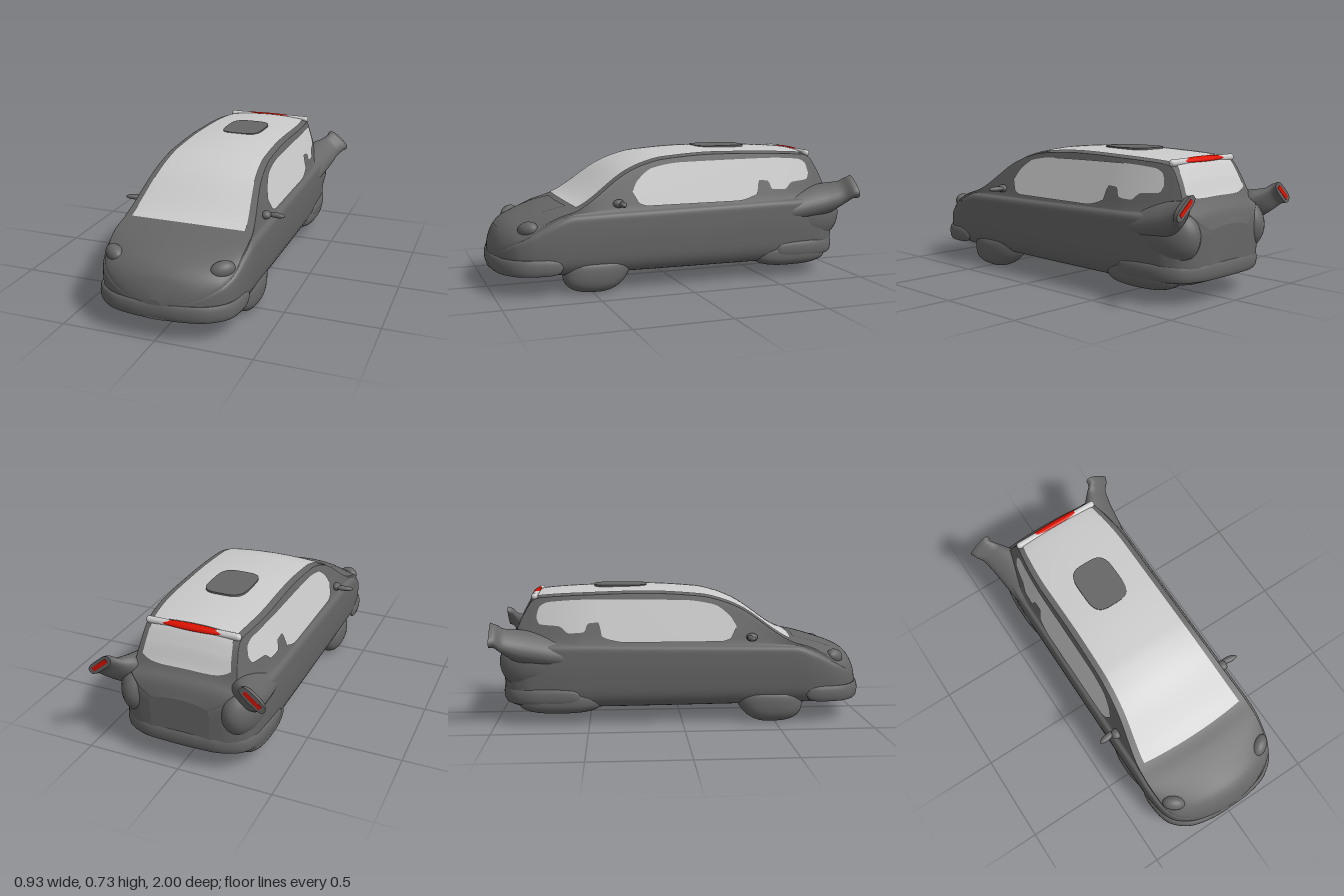
import * as THREE from 'three';

const glassMat = new THREE.MeshStandardMaterial({ color: 0xcccccc, side: THREE.DoubleSide });
const bodyMat = new THREE.MeshStandardMaterial({ color: 0x666666, side: THREE.DoubleSide });
const redMat = new THREE.MeshStandardMaterial({ color: 0xdd1100, side: THREE.DoubleSide });

// Smooth monotone curve through [z, value] pairs, z ascending
function curve(p) {
  const s = p.slice(1).map((q, i) => (q[1] - p[i][1]) / (q[0] - p[i][0]));
  const m = p.map((_, i) => {
    const a = s[i - 1] ?? s[i], b = s[i] ?? s[i - 1];
    return a * b <= 0 ? 0 : (2 * a * b) / (a + b);
  });
  return z => {
    let i = 0;
    while (i < p.length - 2 && z > p[i + 1][0]) i++;
    const h = p[i + 1][0] - p[i][0], t = THREE.MathUtils.clamp((z - p[i][0]) / h, 0, 1);
    const t2 = t * t, t3 = t2 * t;
    return (2 * t3 - 3 * t2 + 1) * p[i][1] + (t3 - 2 * t2 + t) * h * m[i]
      + (3 * t2 - 2 * t3) * p[i + 1][1] + (t3 - t2) * h * m[i + 1];
  };
}

// Surface through rows of [x, y, z] points
function loft(rows, closed) {
  const n = rows[0].length, index = [];
  for (let i = 0; i < rows.length - 1; i++)
    for (let j = 0; j < (closed ? n : n - 1); j++) {
      const a = i * n + j, b = i * n + (j + 1) % n;
      index.push(a, b, a + n, b, b + n, a + n);
    }
  const g = new THREE.BufferGeometry();
  g.setAttribute('position', new THREE.Float32BufferAttribute(rows.flat(2), 3));
  g.setIndex(index);
  g.computeVertexNormals();
  return g;
}

// Flat end for a closed loft
const cap = ring => {
  const c = [0, 1, 2].map(k => ring.reduce((s, p) => s + p[k], 0) / ring.length);
  return [ring, ring.map(() => c)];
};

// Long shape of the car
const width = curve([[-0.96, 0.16], [-0.945, 0.24], [-0.92, 0.295], [-0.88, 0.335], [-0.8, 0.365], [-0.6, 0.375], [0.65, 0.377],
  [0.8, 0.36], [0.88, 0.325], [0.93, 0.265], [0.965, 0.19], [0.985, 0.11], [0.995, 0.04]]);
const top = curve([[-0.96, 0.38], [-0.935, 0.45], [-0.89, 0.5], [-0.84, 0.605], [-0.79, 0.68], [-0.75, 0.695],
  [-0.5, 0.71], [-0.2, 0.717], [0.1, 0.7], [0.2, 0.678], [0.3, 0.64], [0.6, 0.455], [0.7, 0.435],
  [0.8, 0.408], [0.9, 0.37], [0.95, 0.33], [0.98, 0.27], [0.995, 0.22]]);
const belt = curve([[-0.96, 0.35], [-0.93, 0.42], [-0.88, 0.45], [-0.6, 0.44], [0, 0.43], [0.6, 0.42],
  [0.7, 0.385], [0.82, 0.32], [0.9, 0.275], [0.95, 0.235], [0.98, 0.205], [0.995, 0.18]]);
const floor = curve([[-0.96, 0.13], [-0.9, 0.1], [-0.7, 0.09], [0.6, 0.1], [0.995, 0.115]]);
// Exponent of the cross-wise crown: a flat arch on the roof, rounder at the nose
const crown = curve([[0.58, 1], [0.85, 0.6]]);

// Half width of the cabin side, and points across the roof or bonnet (u from -1 to 1)
const cabinX = (y, z) => Math.min(0.93 * width(z) * (z > 0.58 ? 1 + 0.03 * (1 - crown(z)) / 0.4 : 1),
  0.354 - (y - 0.43) * 0.28 - 0.055 * Math.max(0, (-0.45 - z) / 0.4) ** 2);
const edgeY = z => Math.max(belt(z) + 0.003, top(z) - 0.02);
// On the nose the crown starts at the belt
const crownY = z => THREE.MathUtils.lerp(edgeY(z), belt(z) + 0.003, (1 - crown(z)) / 0.4);
const topPoint = (u, z, lift = 0) =>
  [u * cabinX(crownY(z), z), crownY(z) + (top(z) - crownY(z)) * Math.max(0, 1 - u * u) ** crown(z) + lift, z];

function section(z) {
  const w = width(z), b = floor(z), h = belt(z) - b;
  const lower = new THREE.CatmullRomCurve3([[0, 0], [0.6, 0], [0.86, 0.03], [0.96, 0.18], [0.995, 0.45],
    [1, 0.8], [0.985, 0.95], [cabinX(belt(z), z) / w, 1]].map(([x, y]) => new THREE.Vector3(x * w, b + y * h, z)));
  const half = lower.getPoints(32).map(p => [p.x, p.y, z]);
  for (let i = 1; i <= 6; i++) {
    const y = THREE.MathUtils.lerp(belt(z), crownY(z), i / 6);
    half.push([THREE.MathUtils.lerp(cabinX(belt(z), z), cabinX(crownY(z), z), i / 6), y, z]);
  }
  for (let i = 15; i >= 0; i--) half.push(topPoint(Math.sin(i / 16 * Math.PI / 2), z));
  return half.concat(half.slice(1, -1).reverse().map(([x, y]) => [-x, y, z]));
}

// Panel lying on the roof or bonnet; the limits z0 and z1 may vary with u
function topPanel(umax, z0, z1, lift, steps = 40) {
  const rows = [];
  for (let i = 0; i <= steps; i++) {
    const row = [];
    for (let j = -12; j <= 12; j++) {
      const u = j / 12;
      row.push(topPoint(u * umax, THREE.MathUtils.lerp(z0(u), z1(u), i / steps), lift));
    }
    rows.push(row);
  }
  return loft(rows);
}

// Bumper bar following a plan curve from the left side round to the right
function bumper(half, y) {
  const pts = half.concat(half.slice(0, -1).reverse().map(([x, z]) => [-x, z]));
  const path = new THREE.CatmullRomCurve3(pts.map(([x, z]) => new THREE.Vector3(x, y, z)));
  const rows = [];
  for (let i = 0; i <= 80; i++) {
    const t = i / 80, p = path.getPointAt(t), d = path.getTangentAt(t);
    const k = Math.sqrt(Math.max(0.001, 1 - Math.abs(2 * t - 1) ** 24));
    rows.push(Array.from({ length: 14 }, (_, j) => {
      const a = j / 14 * Math.PI * 2, r = Math.cos(a) * 0.014 * k;
      return [p.x - d.z * r, p.y + Math.sin(a) * 0.043 * k, p.z + d.x * r];
    }));
  }
  return loft(rows, true);
}

export function createModel() {
  const car = new THREE.Group();
  const add = (name, geo, mat = bodyMat, parent = car) => {
    const m = new THREE.Mesh(geo, mat);
    m.name = name;
    parent.add(m);
    return m;
  };
  const blob = (name, pos, size, mat, parent) => {
    const m = add(name, new THREE.SphereGeometry(1, 32, 20), mat, parent);
    m.position.set(...pos);
    m.scale.set(...size);
    return m;
  };

  // Body shell
  const rings = Array.from({ length: 111 }, (_, i) => section(0.0175 - 0.9775 * Math.cos(Math.PI * i / 110)));
  add('body', loft([...cap(rings[0]).reverse(), ...rings, ...cap(rings[110])], true));

  // Windscreen and roof in one sheet, rear window, bonnet
  add('windscreenAndRoof', topPanel(0.89, () => -0.765, u => 0.6 - 0.02 * u * u, 0.006, 60), glassMat);
  add('rearWindow', topPanel(0.88, u => -0.888 + 0.02 * u ** 4, () => -0.79, 0.009), glassMat);
  add('bonnet', topPanel(0.58, u => 0.625 - 0.015 * u * u, u => 0.95 - 0.03 * u ** 6, 0.003));

  // Roof hatch with rounded corners
  const hatch = new THREE.Shape(Array.from({ length: 48 }, (_, i) => {
    const a = i / 48 * Math.PI * 2, c = Math.cos(a), s = Math.sin(a);
    return new THREE.Vector2(0.113 * Math.sign(c) * Math.abs(c) ** 0.55, 0.145 * Math.sign(s) * Math.abs(s) ** 0.55);
  }));
  const hatchMesh = add('roofHatch', new THREE.ExtrudeGeometry(hatch, { depth: 0.02, bevelEnabled: false }));
  hatchMesh.rotation.x = -Math.PI / 2;
  hatchMesh.position.set(0, 0.706, -0.325);

  // Roof spoiler and high brake light
  const spoiler = add('spoiler', new THREE.CapsuleGeometry(0.018, 0.47, 8, 20), glassMat);
  spoiler.rotation.z = Math.PI / 2;
  spoiler.position.set(0, 0.68, -0.782);
  blob('brakeLight', [0, 0.687, -0.788], [0.19, 0.012, 0.021], redMat).rotation.x = -0.5;

  // Bumpers
  add('frontBumper', bumper([[0.36, 0.66], [0.362, 0.75], [0.335, 0.87], [0.25, 0.947], [0.13, 0.98], [0, 0.986]], 0.157));
  add('rearBumper', bumper([[0.362, -0.54], [0.363, -0.7], [0.348, -0.82], [0.3, -0.9], [0.2, -0.944], [0.1, -0.953], [0, -0.955]], 0.16));

  // Parts found on both sides
  const sillY = curve([[-0.77, 0.57], [-0.755, 0.54], [-0.65, 0.53], [-0.6, 0.495], [-0.52, 0.5], [-0.5, 0.545],
    [-0.44, 0.55], [-0.43, 0.48], [-0.3, 0.446], [0.2, 0.446], [0.25, 0.46], [0.285, 0.52]]);
  const headY = curve([[-0.77, 0.58], [-0.755, 0.63], [-0.7, 0.655], [-0.5, 0.667], [0, 0.662], [0.16, 0.64], [0.25, 0.58], [0.285, 0.525]]);
  for (const s of [1, -1]) {
    const side = new THREE.Group();
    side.name = s > 0 ? 'leftSide' : 'rightSide';
    side.scale.x = s;
    car.add(side);

    // Side window
    const cols = Array.from({ length: 121 }, (_, i) => {
      const z = -0.77 + 1.055 * i / 120;
      return Array.from({ length: 7 }, (_, j) => {
        const y = THREE.MathUtils.lerp(sillY(z), headY(z), j / 6);
        return [cabinX(y, z) + 0.005, y, z];
      });
    });
    add('sideWindow', loft(cols), glassMat, side);

    // Flared tail light pod: z, centre x, centre y, long and short half size
    const pod = [[-1, 0.4, 0.5, 0.078, 0.028], [-0.975, 0.393, 0.493, 0.07, 0.034], [-0.94, 0.358, 0.462, 0.074, 0.046],
      [-0.88, 0.325, 0.435, 0.09, 0.065], [-0.8, 0.308, 0.415, 0.095, 0.07], [-0.65, 0.296, 0.39, 0.09, 0.062],
      [-0.48, 0.285, 0.37, 0.06, 0.04]];
    const f = [1, 2, 3, 4].map(k => curve(pod.map(p => [p[0], p[k]])));
    const podRings = Array.from({ length: 33 }, (_, i) => {
      const z = -1 + 0.52 * (i / 32) ** 1.5, [x, y, l, t] = f.map(g => g(z));
      const e = z < -0.95 ? 0.7 : 0.85;
      return Array.from({ length: 28 }, (_, j) => {
        const a = j / 28 * Math.PI * 2, c = Math.cos(a), n = Math.sin(a);
        const p = l * Math.sign(c) * Math.abs(c) ** e, q = t * Math.sign(n) * Math.abs(n) ** e;
        return [x + 0.77 * p + 0.64 * q, y - 0.64 * p + 0.77 * q, z];
      });
    });
    add('tailLightPod', loft([...cap(podRings[0]).reverse(), ...podRings], true), bodyMat, side);
    blob('rearHaunch', [0.268, 0.335, -0.78], [0.107, 0.16, 0.19], bodyMat, side);
    const lamp = add('tailLight', new THREE.BoxGeometry(0.105, 0.022, 0.004), redMat, side);
    lamp.position.set(0.4, 0.5, -1);
    lamp.rotation.z = -0.694;

    // Wheel covers, sloping up towards the middle and the back
    for (const [name, y, z, ry, rz] of [['frontWheelCover', 0.1, 0.475, 0.1, 0.175], ['rearWheelCover', 0.13, -0.65, 0.07, 0.225]]) {
      const g = new THREE.SphereGeometry(1, 36, 24), p = g.attributes.position;
      for (let i = 0; i < p.count; i++) {
        const v = new THREE.Vector3().fromBufferAttribute(p, i);
        v.divideScalar((Math.abs(v.x) ** 2.6 + Math.abs(v.y) ** 2.6 + Math.abs(v.z) ** 2.6) ** (1 / 2.6));
        if (v.x < 0) v.x *= 1 + 0.65 * (v.y + 1);
        if (v.z < 0 && z > 0) v.z *= 1 + 0.3 * v.y;
        p.setXYZ(i, v.x, Math.min(v.y, 0.6), v.z);
      }
      g.computeVertexNormals();
      const m = add(name, g, bodyMat, side);
      m.position.set(0.29, y, z);
      m.scale.set(0.083, ry, rz);
    }

    // Headlight, door mirror and its foot
    const light = blob('headlight', [0.285, 0.347, 0.826], [0.063, 0.042, 0.04], bodyMat, side);
    light.rotation.set(-0.5, 0.5, 0.45);
    blob('doorMirror', [0.4, 0.468, 0.355], [0.05, 0.014, 0.018], bodyMat, side).rotation.y = -0.15;
    blob('mirrorFoot', [0.352, 0.467, 0.365], [0.026, 0.022, 0.03], bodyMat, side);
  }
  return car;
}
